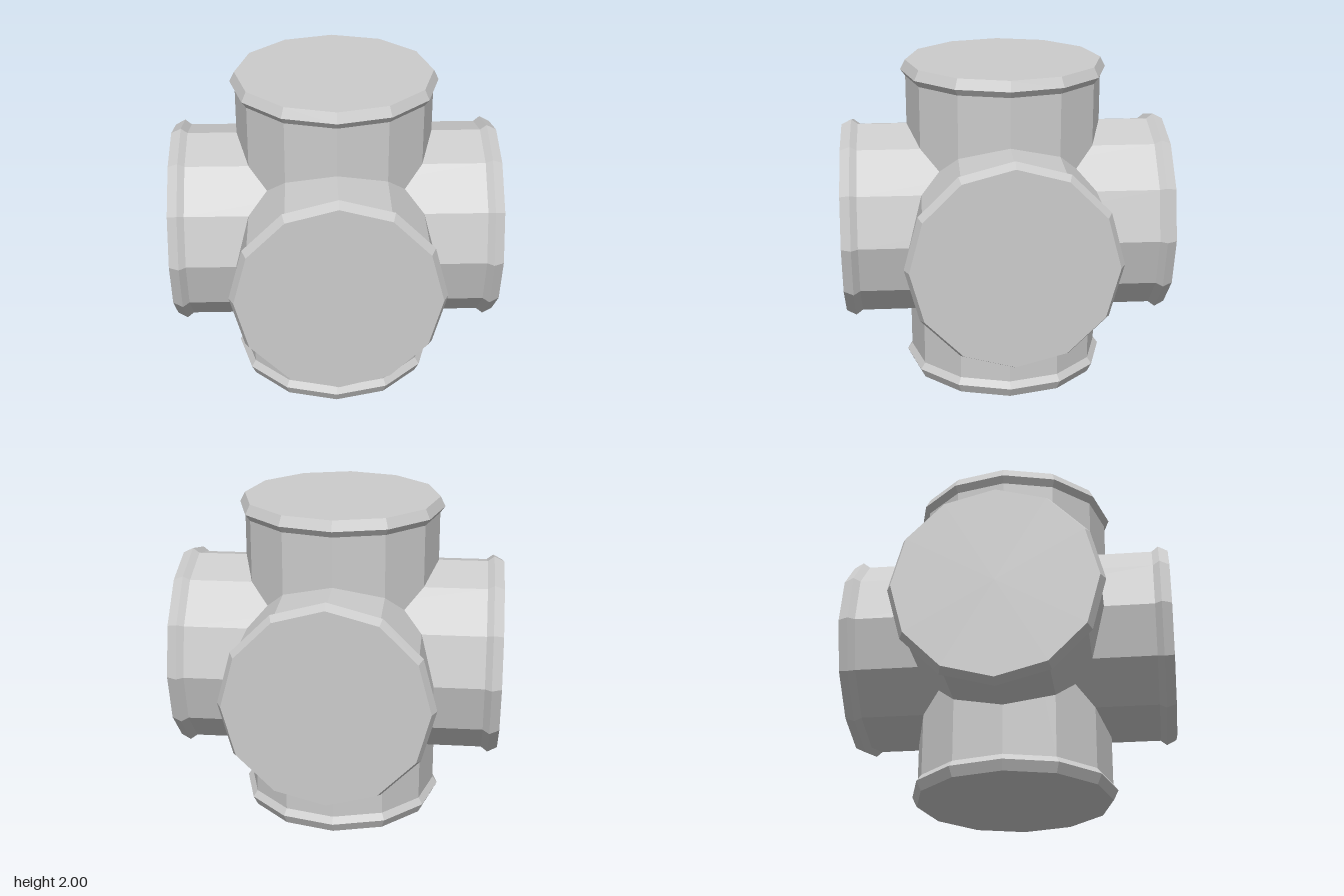
import * as THREE from 'three';

// Six-way pipe junction: three twelve-sided pipes crossing at the centre.
export function createModel() {
  const group = new THREE.Group();
  group.name = 'pipeJunction';
  const material = new THREE.MeshStandardMaterial({ color: 0xcccccc, flatShading: true });

  const RADIUS = 0.6, RIM = 0.63, SIDES = 12;

  // Profile of one pipe from end to end: flat cap, bevelled rim, straight wall
  const upperHalf = [[RADIUS, 0.9], [RIM, 0.94], [RADIUS, 1], [0, 1]];
  const lowerHalf = upperHalf.map(([r, y]) => [r, -y]).reverse();
  const profile = [...lowerHalf, ...upperHalf].map(([r, y]) => new THREE.Vector2(r, y));
  const pipeGeometry = new THREE.LatheGeometry(profile, SIDES);

  // The same pipe laid along each axis
  const pipes = [
    ['verticalPipe', 0, 0],
    ['sidewaysPipe', 0, Math.PI / 2],
    ['frontToBackPipe', Math.PI / 2, 0],
  ];
  for (const [name, rx, rz] of pipes) {
    const pipe = new THREE.Mesh(pipeGeometry, material);
    pipe.name = name;
    pipe.position.y = 1;
    pipe.rotation.set(rx, 0, rz);
    group.add(pipe);
  }
  return group;
}
